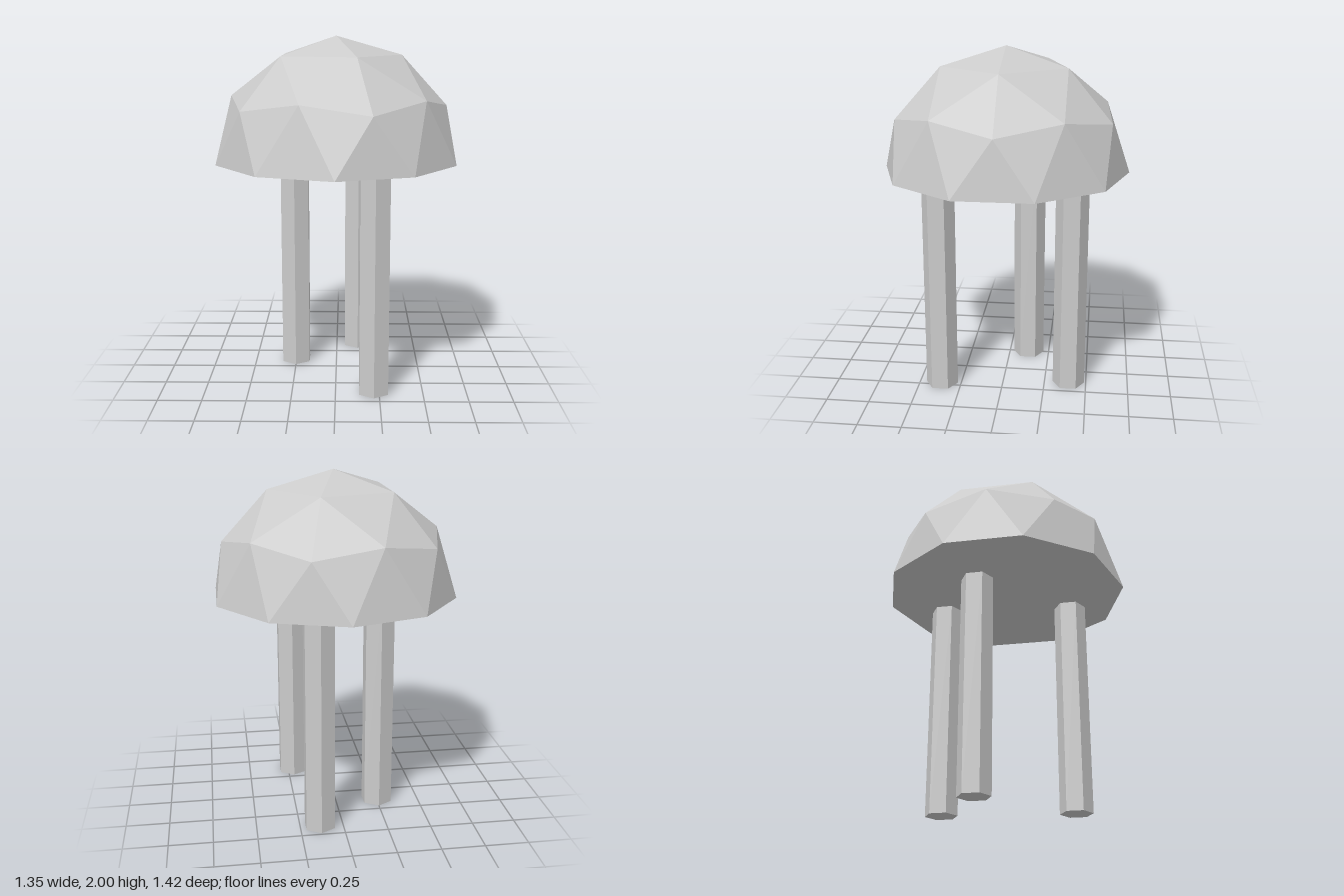
import * as THREE from 'three';

const RADIUS = 0.71;
const BASE_Y = 1.29;
const LEG_RADIUS = 0.095;

// Upper half of a two-frequency geodesic sphere, with a flat underside
function domeGeometry() {
  // latitude(i) and offset in degrees; azimuth runs anticlockwise seen from above
  const ring = (count, latitude, offset = 0) => Array.from({ length: count }, (_, i) => {
    const lat = THREE.MathUtils.degToRad(latitude(i));
    const az = THREE.MathUtils.degToRad(offset + (360 / count) * i);
    return new THREE.Vector3(
      Math.cos(lat) * Math.cos(az), Math.sin(lat), -Math.cos(lat) * Math.sin(az)
    ).multiplyScalar(RADIUS);
  });

  const apex = new THREE.Vector3(0, RADIUS, 0);
  const centre = new THREE.Vector3();
  const upper = ring(5, () => 58.28);
  const middle = ring(10, (i) => (i % 2 ? 31.72 : 26.57));
  const rim = ring(10, () => 0, 18);

  const points = [];
  const tri = (...corners) => points.push(...corners);

  // Cap and the band beneath it
  for (let k = 0; k < 5; k++) {
    const n = (k + 1) % 5;
    const a = middle[2 * k], b = middle[2 * k + 1], c = middle[(2 * k + 2) % 10];
    tri(apex, upper[k], upper[n]);
    tri(upper[k], a, b);
    tri(upper[k], b, upper[n]);
    tri(b, c, upper[n]);
  }
  // Lowest band and flat underside
  for (let j = 0; j < 10; j++) {
    const n = (j + 1) % 10;
    tri(middle[j], rim[j], middle[n]);
    tri(middle[j], rim[(j + 9) % 10], rim[j]);
    tri(centre, rim[n], rim[j]);
  }

  const geometry = new THREE.BufferGeometry().setFromPoints(points);
  geometry.computeVertexNormals();
  return geometry;
}

export function createModel() {
  const model = new THREE.Group();
  model.name = 'domeOnLegs';
  const material = new THREE.MeshStandardMaterial({ color: 0xcccccc, flatShading: true });

  const dome = new THREE.Mesh(domeGeometry(), material);
  dome.name = 'dome';
  dome.position.y = BASE_Y;
  model.add(dome);

  // Three hexagonal legs, unevenly placed
  const legGeometry = new THREE.CylinderGeometry(LEG_RADIUS, LEG_RADIUS, BASE_Y, 6);
  const legs = { frontLeg: [0.218, 0.365], sideLeg: [-0.25, -0.121], backLeg: [0.135, -0.394] };
  for (const [name, [x, z]] of Object.entries(legs)) {
    const leg = new THREE.Mesh(legGeometry, material);
    leg.name = name;
    leg.position.set(x, BASE_Y / 2, z);
    model.add(leg);
  }
  return model;
}
